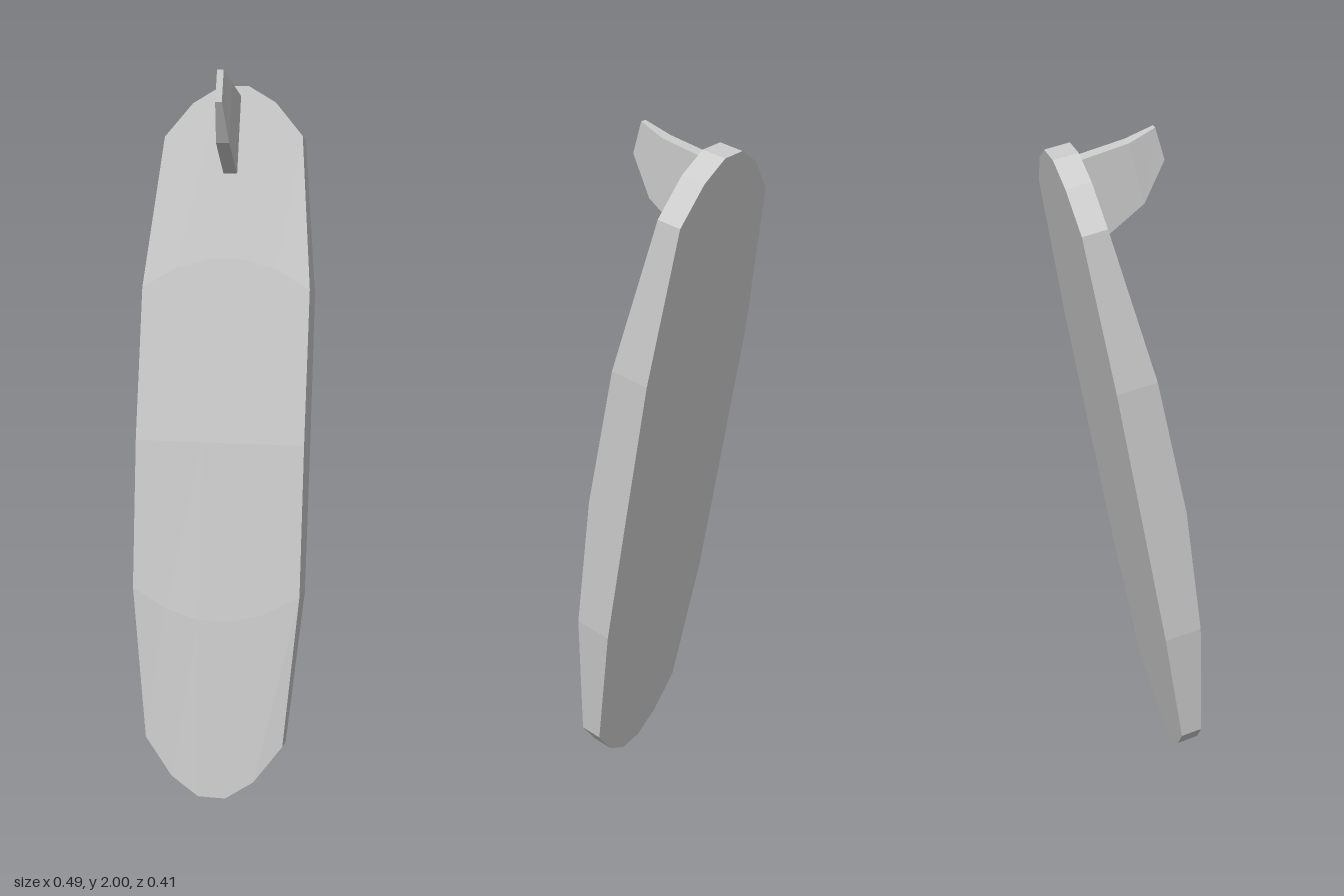
import * as THREE from 'three';

// Closed solid from a grid of points: at(i, j, side) with side 1 = front skin, 0 = back skin
function slab(name, rows, cols, at) {
  const pos = [];
  const quad = (a, b, c, d) => [a, b, c, a, c, d].forEach((p) => pos.push(...p));
  for (let i = 0; i < rows - 1; i++) {
    for (let j = 0; j < cols - 1; j++) {
      quad(at(i, j, 1), at(i, j + 1, 1), at(i + 1, j + 1, 1), at(i + 1, j, 1));
      quad(at(i, j, 0), at(i + 1, j, 0), at(i + 1, j + 1, 0), at(i, j + 1, 0));
    }
  }
  // Walls around the rim, counter-clockwise
  const rim = [];
  for (let j = 0; j < cols - 1; j++) rim.push([0, j]);
  for (let i = 0; i < rows - 1; i++) rim.push([i, cols - 1]);
  for (let j = cols - 1; j > 0; j--) rim.push([rows - 1, j]);
  for (let i = rows - 1; i > 0; i--) rim.push([i, 0]);
  rim.forEach((a, k) => {
    const b = rim[(k + 1) % rim.length];
    quad(at(...a, 0), at(...b, 0), at(...b, 1), at(...a, 1));
  });
  const geometry = new THREE.BufferGeometry();
  geometry.setAttribute('position', new THREE.Float32BufferAttribute(pos, 3));
  geometry.computeVertexNormals();
  const mesh = new THREE.Mesh(geometry, new THREE.MeshStandardMaterial({ color: 0xcccccc, flatShading: true }));
  mesh.name = name;
  return mesh;
}

export function createModel() {
  const model = new THREE.Group();
  model.name = 'surfboard';

  // Board: [height at the rail, bow of the row at its middle, half width, thickness]
  const stations = [
    [-0.858, -0.157, 0.195, 0.063],
    [-0.433, -0.08, 0.235, 0.107],
    [-0.02, 0, 0.236, 0.125],
    [0.406, 0.08, 0.235, 0.11],
    [0.832, 0.139, 0.195, 0.066],
  ];
  const board = slab('board', stations.length, 6, (i, j, side) => {
    const [y, bow, half, thick] = stations[i];
    const u = -1 + 0.4 * j;
    return [u * half, y + (bow * (1 - u * u)) / 0.96, side * thick];
  });

  // Fin: root to tip, [leading y, leading z, trailing y, trailing z, half width]
  const ribs = [
    [0.715, 0.05, 0.942, 0.05, 0.019],
    [0.728, 0.099, 0.944, 0.086, 0.019],
    [0.785, 0.211, 0.95, 0.198, 0.018],
    [0.879, 0.283, 0.967, 0.272, 0.009],
  ];
  const fin = slab('fin', ribs.length, 2, (i, j, side) => {
    const r = ribs[i];
    return [(side ? 1 : -1) * r[4], r[2 * j], r[2 * j + 1]];
  });

  // Lean the board back and turn it slightly
  const leaning = new THREE.Group();
  leaning.name = 'leaningBoard';
  leaning.add(board, fin);
  leaning.rotation.set(-0.171, -0.1, 0, 'YXZ');
  leaning.position.set(0.006, 1, -0.034);
  model.add(leaning);
  return model;
}
